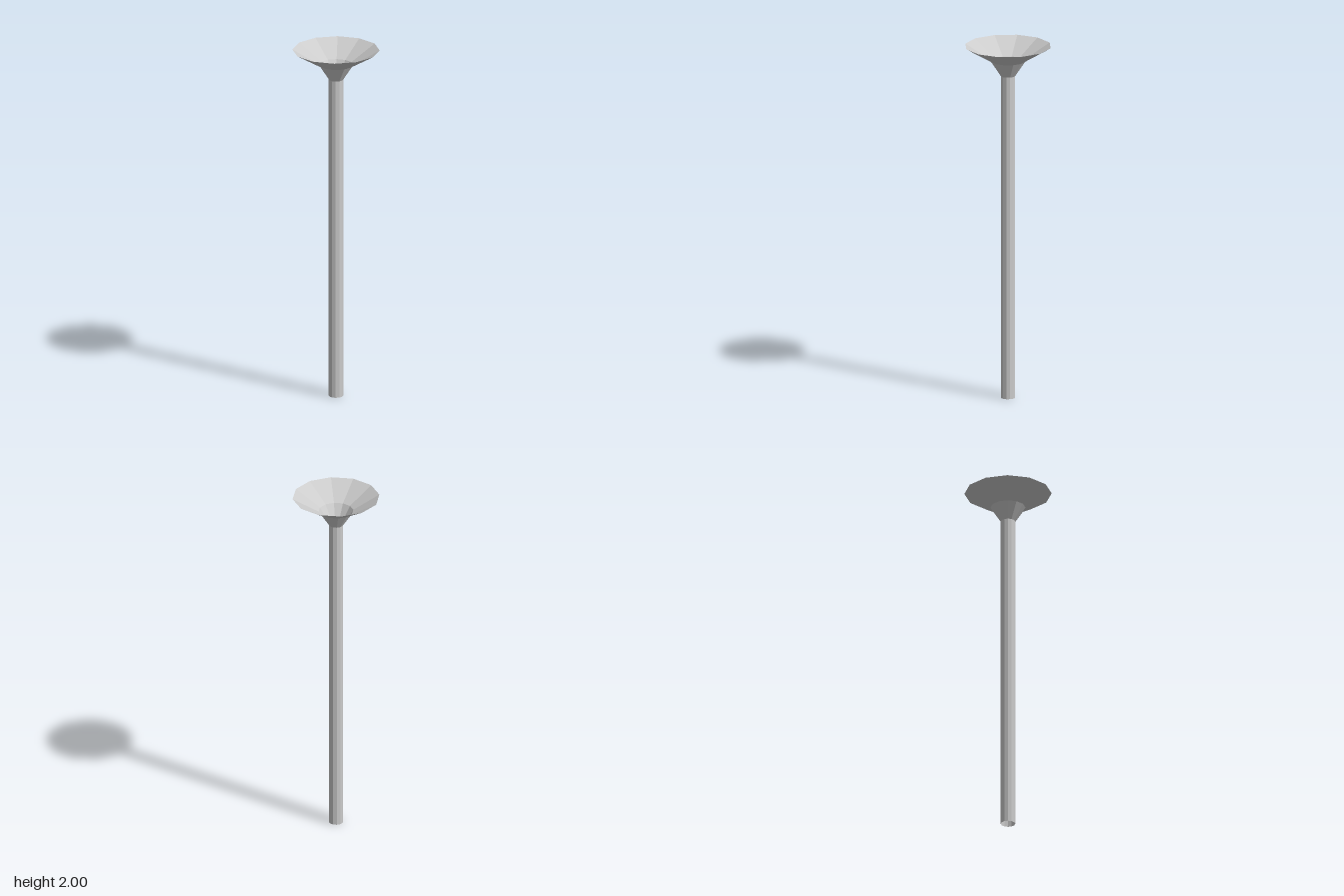
import * as THREE from 'three';

const SIDES = 12;

// Open, faceted surface of revolution from [radius, height] pairs
function turned(name, profile, material) {
  const points = profile.map(([r, y]) => new THREE.Vector2(r, y));
  const mesh = new THREE.Mesh(new THREE.LatheGeometry(points, SIDES), material);
  mesh.name = name;
  return mesh;
}

export function createModel() {
  const material = new THREE.MeshStandardMaterial({
    color: 0xcccccc,
    flatShading: true,
    side: THREE.DoubleSide,
  });

  const group = new THREE.Group();
  group.name = 'funnelTube';

  // Long hollow tube, open at both ends
  group.add(turned('tube', [[0.04, 0], [0.04, 1.83]], material));

  // Steep neck opening into a wide shallow flare
  group.add(turned('funnel', [[0.04, 1.83], [0.096, 1.915], [0.24, 2]], material));

  return group;
}
